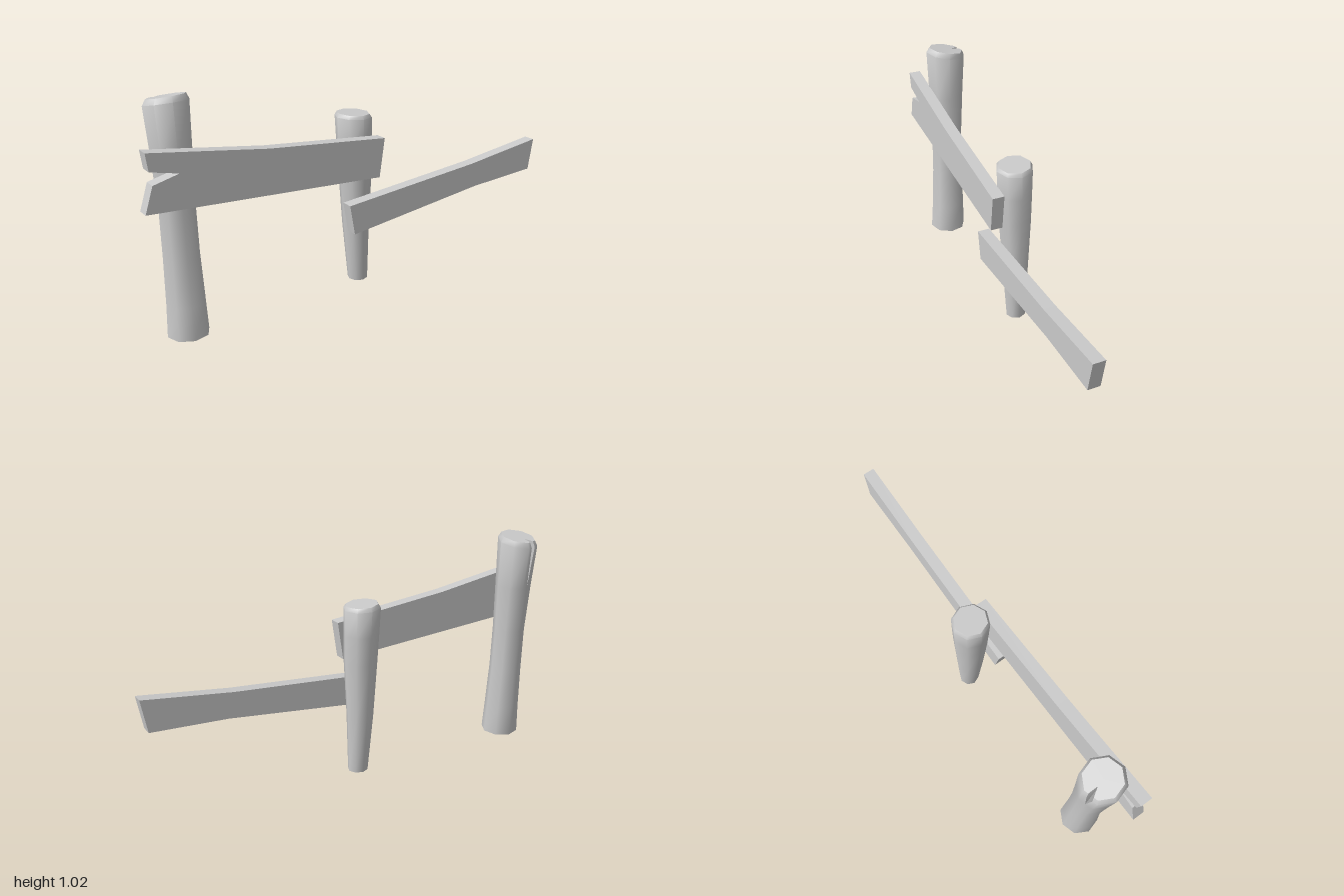
import * as THREE from 'three';
import { toCreasedNormals } from 'three/addons/utils/BufferGeometryUtils.js';

const material = new THREE.MeshStandardMaterial({ color: 0xcccccc, side: THREE.DoubleSide });
const SIDES = 8;

// One eight-sided section; "notch" (0..1) opens a V-shaped split in the rear edge.
function section({ y, x, z, r, tiltX = 0, tiltZ = 0, notch = 0 }, turn, split) {
  const at = (px, pz) => new THREE.Vector3(x + px, y + px * tiltX + pz * tiltZ, z + pz);
  const corner = (i) => {
    const a = (i / SIDES) * Math.PI * 2 + turn;
    return [Math.cos(a) * r, Math.sin(a) * r];
  };
  const points = [];
  for (let i = 0; i < SIDES; i++) {
    const [ax, az] = corner(i);
    points.push(at(ax, az));
    if (!split || i !== 5) continue;
    const [bx, bz] = corner(i + 1);
    for (const [t, depth] of [[0.5 - 0.2 * notch, 0], [0.5, 0.55 * notch], [0.5 + 0.2 * notch, 0]]) {
      const s = 1 - depth;
      points.push(at((ax + (bx - ax) * t) * s, (az + (bz - az) * t) * s));
    }
  }
  return points;
}

function triangles(list) {
  return new THREE.BufferGeometry().setFromPoints(list);
}

// Post: skin lofted through the sections, flat cap on top, open underneath.
function makePost(name, sections, turn = 0, split = false) {
  const rings = sections.map((s) => section(s, turn, split));
  const n = rings[0].length;
  const skin = [];
  for (let k = 0; k < rings.length - 1; k++) {
    const a = rings[k], b = rings[k + 1];
    for (let i = 0; i < n; i++) {
      const j = (i + 1) % n;
      skin.push(a[i], b[i], a[j], b[i], b[j], a[j]);
    }
  }
  const top = rings[rings.length - 1];
  const last = sections[sections.length - 1];
  const centre = new THREE.Vector3(last.x, last.y, last.z);
  const cap = [];
  for (let i = 0; i < n; i++) cap.push(centre, top[(i + 1) % n], top[i]);

  const group = new THREE.Group();
  group.name = name;
  const body = new THREE.Mesh(toCreasedNormals(triangles(skin), 0.9), material);
  body.name = name + 'Body';
  const capGeometry = triangles(cap);
  capGeometry.computeVertexNormals();
  const capMesh = new THREE.Mesh(capGeometry, material);
  capMesh.name = name + 'Cap';
  group.add(body, capMesh);
  return group;
}

// Plank: flat outline given thickness along z.
function makePlank(name, outline) {
  const shape = new THREE.Shape(outline.map(([x, y]) => new THREE.Vector2(x, y)));
  const geometry = new THREE.ExtrudeGeometry(shape, { depth: 0.054, bevelEnabled: false });
  geometry.translate(0, 0, 0.065);
  const mesh = new THREE.Mesh(geometry, material);
  mesh.name = name;
  return mesh;
}

export function createModel() {
  const model = new THREE.Group();
  model.name = 'brokenFence';

  // Tall post, waisted, with slanted top and a split at the back
  model.add(makePost('tallPost', [
    { y: 0.006, x: -0.817, z: 0.01, r: 0.089, tiltZ: 0.03 },
    { y: 0.15, x: -0.817, z: 0.004, r: 0.083 },
    { y: 0.35, x: -0.82, z: -0.003, r: 0.077 },
    { y: 0.55, x: -0.822, z: -0.008, r: 0.076 },
    { y: 0.77, x: -0.827, z: -0.015, r: 0.084 },
    { y: 0.98, x: -0.833, z: -0.022, r: 0.093, tiltZ: 0.2, tiltX: 0.03, notch: 0.9 },
    { y: 1.004, x: -0.831, z: -0.025, r: 0.08, tiltZ: 0.2, tiltX: 0.05, notch: 1 },
  ], 0.1, true));

  // Short post, tapering to the foot
  model.add(makePost('shortPost', [
    { y: 0.024, x: 0.043, z: -0.012, r: 0.046, tiltZ: -0.03 },
    { y: 0.3, x: 0.032, z: -0.013, r: 0.062 },
    { y: 0.55, x: 0.028, z: -0.012, r: 0.076 },
    { y: 0.68, x: 0.024, z: -0.013, r: 0.08 },
    { y: 0.798, x: 0.02, z: -0.014, r: 0.083, tiltX: -0.05 },
    { y: 0.814, x: 0.02, z: -0.014, r: 0.073, tiltX: -0.06, tiltZ: -0.02 },
  ]));

  // Upper plank with a splintered end
  model.add(makePlank('upperPlank', [
    [-1, 0.6], [0.07, 0.543], [0.095, 0.717], [-0.47, 0.768], [-0.985, 0.84],
    [-0.975, 0.765], [-0.855, 0.738], [-0.965, 0.71],
  ]));

  // Lower plank, slightly bent
  model.add(makePlank('lowerPlank', [
    [-0.06, 0.303], [0.63, 0.39], [0.975, 0.412], [1, 0.56], [0.6, 0.505], [-0.085, 0.44],
  ]));

  return model;
}
